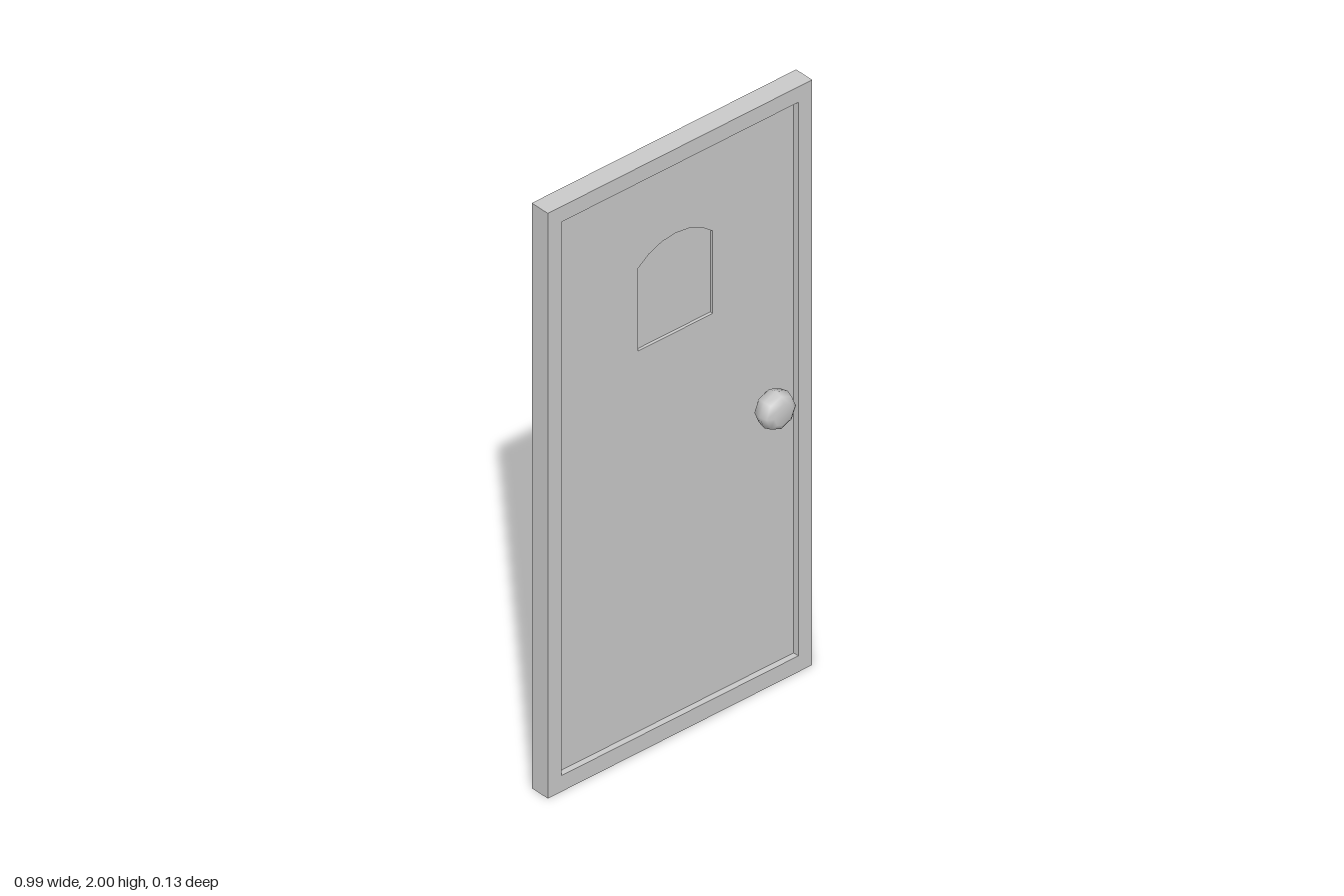
import * as THREE from 'three';

const W = 0.99, H = 2;           // door outline
const FRONT = 0.005, BACK = -0.063, MID = -0.029;
const material = new THREE.MeshStandardMaterial({ color: 0xcccccc });

function rect(Type, halfWidth, bottom, top) {
  const s = new Type();
  s.moveTo(-halfWidth, bottom);
  s.lineTo(halfWidth, bottom);
  s.lineTo(halfWidth, top);
  s.lineTo(-halfWidth, top);
  s.closePath();
  return s;
}

// Arched outline: straight sides closed by a shallow circular arc
function arch(Type, halfWidth, bottom, spring, rise, segments = 6) {
  const r = (halfWidth ** 2 + rise ** 2) / (2 * rise);
  const half = Math.asin(halfWidth / r);
  const s = new Type();
  s.moveTo(-halfWidth, bottom);
  s.lineTo(halfWidth, bottom);
  for (let i = 0; i <= segments; i++) {
    const a = half * (1 - (2 * i) / segments);
    s.lineTo(r * Math.sin(a), spring + rise - r + r * Math.cos(a));
  }
  s.closePath();
  return s;
}

export function createModel() {
  const model = new THREE.Group();
  model.name = 'door';

  const add = (name, geometry) => {
    const mesh = new THREE.Mesh(geometry, material);
    mesh.name = name;
    model.add(mesh);
    return mesh;
  };
  const slab = (name, shape, z0, z1, hole) => {
    if (hole) shape.holes.push(hole);
    const g = new THREE.ExtrudeGeometry(shape, { depth: z1 - z0, bevelEnabled: false });
    return add(name, g.translate(0, 0, z0));
  };

  // Frame: narrow border at the front, wider border at the back
  slab('frontFrame', rect(THREE.Shape, W / 2, 0, H), MID, FRONT,
    rect(THREE.Path, 0.443, 0.055, 1.947));
  slab('backFrame', rect(THREE.Shape, W / 2, 0, H), BACK, MID,
    rect(THREE.Path, 0.384, 0.116, 1.884));

  // Recessed panel with an arched window opening
  slab('panel', rect(THREE.Shape, 0.45, 0.05, 1.95), -0.043, -0.015,
    arch(THREE.Path, 0.14, 1.355, 1.637, 0.057));

  // Window pane set a little deeper than the panel on both sides
  slab('windowPane', arch(THREE.Shape, 0.145, 1.35, 1.64, 0.06), -0.033, -0.025);

  // Eight-sided rounded knob on the front
  const profile = [
    [0, -0.02], [0.036, -0.016], [0.056, 0.0], [0.062, 0.028],
    [0.055, 0.05], [0.036, 0.063], [0, 0.063],
  ].map(([r, z]) => new THREE.Vector2(r, z));
  const knob = add('knob', new THREE.LatheGeometry(profile, 8).rotateX(Math.PI / 2));
  knob.position.set(0.339, 0.957, 0);

  return model;
}
